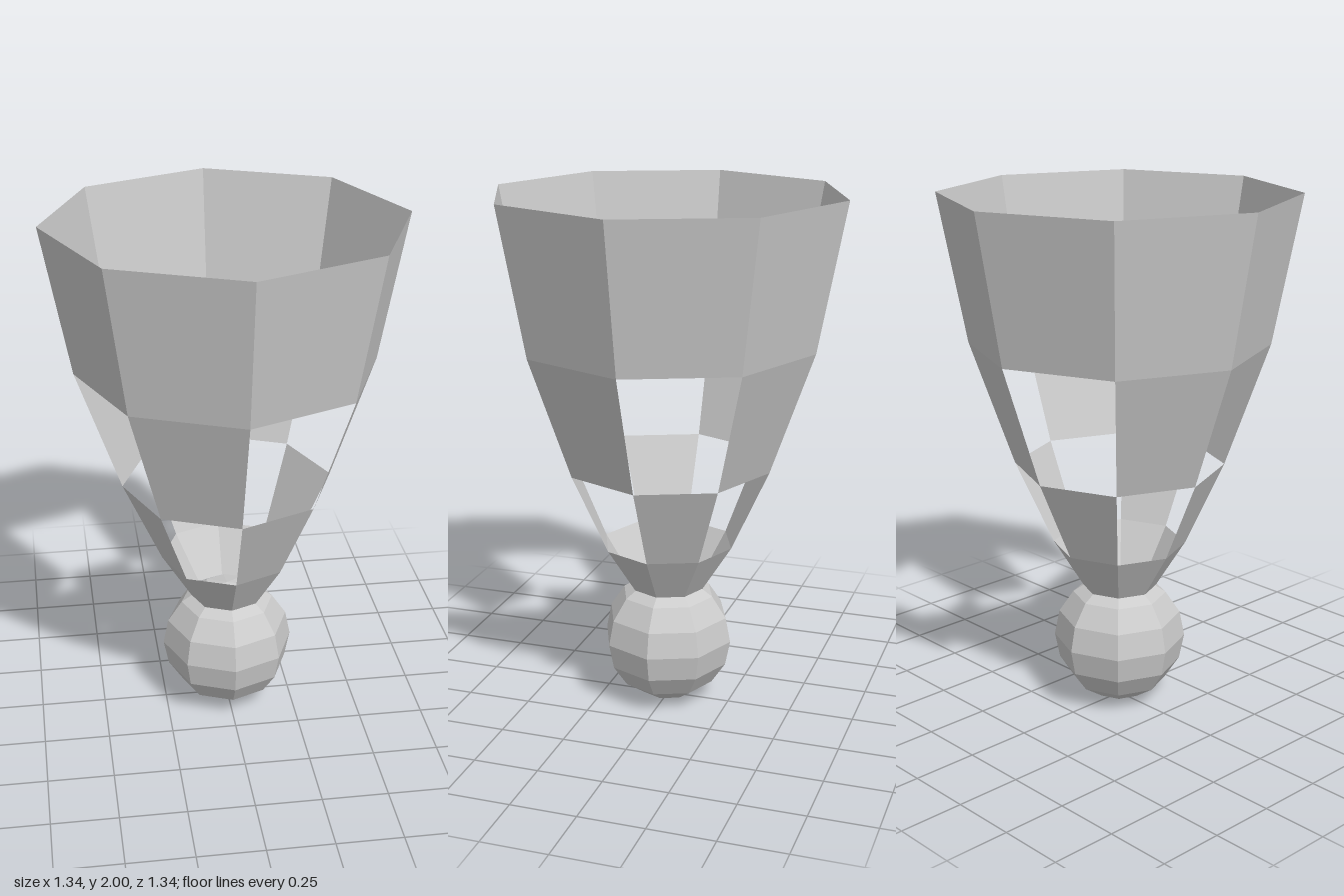
import * as THREE from 'three';

const SIDES = 8;

// Skirt rings from the neck to the rim: [radius, height]
const RINGS = [[0.142, 0.47], [0.255, 0.65], [0.4, 0.97], [0.565, 1.44], [0.67, 2]];
const BANDS = ['neckBand', 'lowerVaneBand', 'upperVaneBand', 'rimBand'];

// Middle bands are a checkerboard of panels and openings; the others are closed
const hasPanel = (band, side) => band === 0 || band === 3 || (band + side) % 2 === 0;

function ringPoint([radius, y], side) {
  const a = (side / SIDES) * Math.PI * 2;
  return [Math.cos(a) * radius, y, Math.sin(a) * radius];
}

function bandGeometry(band) {
  const positions = [];
  for (let side = 0; side < SIDES; side++) {
    if (!hasPanel(band, side)) continue;
    const a = ringPoint(RINGS[band], side);
    const b = ringPoint(RINGS[band], side + 1);
    const c = ringPoint(RINGS[band + 1], side + 1);
    const d = ringPoint(RINGS[band + 1], side);
    positions.push(...a, ...d, ...c, ...a, ...c, ...b);
  }
  const geometry = new THREE.BufferGeometry();
  geometry.setAttribute('position', new THREE.Float32BufferAttribute(positions, 3));
  geometry.computeVertexNormals();
  return geometry;
}

export function createModel() {
  const model = new THREE.Group();
  model.name = 'shuttlecock';

  // Faceted ball, its top tucked into the neck of the skirt
  const ball = new THREE.Mesh(
    new THREE.SphereGeometry(0.256, SIDES, 8),
    new THREE.MeshStandardMaterial({ color: 0xcccccc, flatShading: true })
  );
  ball.name = 'ball';
  ball.position.y = 0.26;
  model.add(ball);

  // Thin open skirt, one mesh per band
  const skirt = new THREE.Group();
  skirt.name = 'skirt';
  const skirtMaterial = new THREE.MeshStandardMaterial({
    color: 0xcccccc, flatShading: true, side: THREE.DoubleSide
  });
  BANDS.forEach((name, band) => {
    const mesh = new THREE.Mesh(bandGeometry(band), skirtMaterial);
    mesh.name = name;
    skirt.add(mesh);
  });
  model.add(skirt);

  return model;
}
